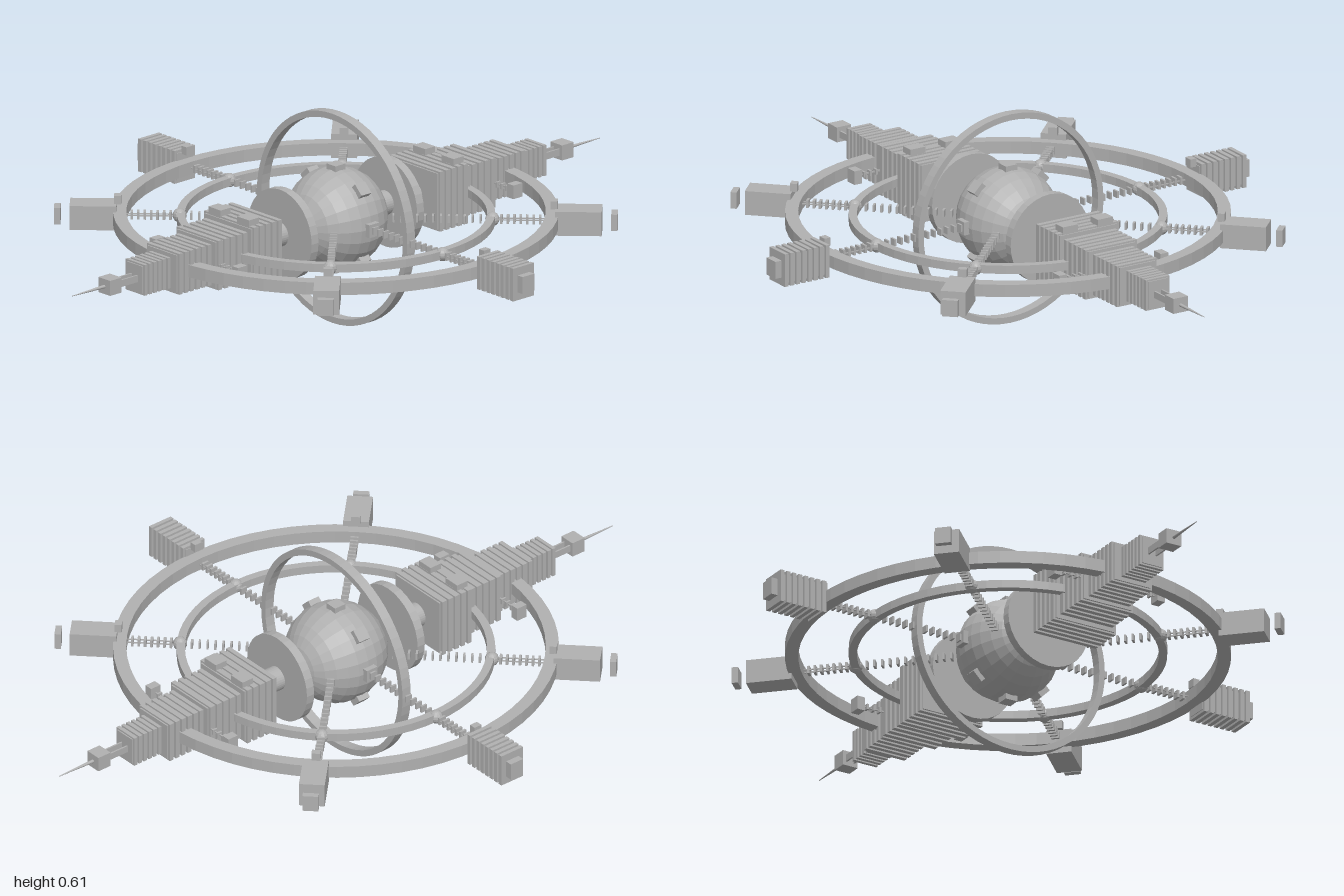
import * as THREE from 'three';

export function createModel() {
  const grey = new THREE.MeshStandardMaterial({ color: 0xb0b0b0, flatShading: true });
  grey.name = 'hull grey';
  const model = new THREE.Group();
  model.name = 'spaceStation';
  const station = new THREE.Group();
  station.name = 'station';
  station.position.y = 0.307;
  model.add(station);

  function add(parent, name, geometry, x = 0, y = 0, z = 0) {
    const mesh = new THREE.Mesh(geometry, grey);
    mesh.name = name;
    mesh.position.set(x, y, z);
    parent.add(mesh);
    return mesh;
  }
  const box = (parent, name, w, h, d, x, y, z) =>
    add(parent, name, new THREE.BoxGeometry(w, h, d), x, y, z);

  // Ring of rectangular section, lying flat
  function ring(name, inner, outer, height) {
    const h = height / 2;
    const profile = [[outer, -h], [outer, h], [inner, h], [inner, -h], [outer, -h]]
      .map(([r, y]) => new THREE.Vector2(r, y));
    return add(station, name, new THREE.LatheGeometry(profile, 64));
  }
  ring('outerRing', 0.583, 0.62, 0.036);
  ring('innerRing', 0.42, 0.443, 0.024);
  ring('uprightRing', 0.289, 0.307, 0.03).rotation.x = Math.PI / 2;

  // Central globe with its poles along z, and a belt of hatches
  add(station, 'globe', new THREE.SphereGeometry(0.145, 24, 14).rotateX(Math.PI / 2));
  for (let i = 0; i < 8; i++) {
    const a = (i * Math.PI) / 4;
    const hatch = box(station, 'hatch', 0.025, 0.038, 0.038, 0.145 * Math.cos(a), 0.145 * Math.sin(a), 0);
    hatch.rotation.z = a;
  }

  // Axial docking arm, built toward +z
  function axialArm(angle) {
    const arm = new THREE.Group();
    arm.name = 'axialArm';
    arm.rotation.y = angle;
    station.add(arm);
    const cylinder = (name, r0, r1, length, z) =>
      add(arm, name, new THREE.CylinderGeometry(r1, r0, length, 32).rotateX(Math.PI / 2), 0, 0, z);
    cylinder('neckTube', 0.035, 0.035, 0.2, 0.21);
    cylinder('collarDisc', 0.13, 0.13, 0.026, 0.2);

    // Stepped hull blocks: width, height, start, end, number of ribs
    const blocks = [
      [0.19, 0.165, 0.295, 0.41, 5],
      [0.156, 0.135, 0.41, 0.53, 5],
      [0.118, 0.11, 0.53, 0.66, 6],
      [0.064, 0.08, 0.66, 0.765, 6],
    ];
    for (const [w, h, z0, z1, ribs] of blocks) {
      box(arm, 'hullBlock', w, h, z1 - z0, 0, 0, (z0 + z1) / 2);
      const step = (z1 - z0) / ribs;
      for (let i = 0; i < ribs; i++) {
        box(arm, 'hullRib', w + 0.014, h + 0.01, step * 0.6, 0, 0, z0 + (i + 0.5) * step);
      }
    }
    for (const s of [-1, 1]) {
      box(arm, 'roofUnit', 0.05, 0.03, 0.038, s * 0.058, 0.09, 0.388);
      box(arm, 'sideBoom', 0.09, 0.004, 0.004, s * 0.115, 0, 0.522);
      for (let i = 0; i < 3; i++) {
        box(arm, 'boomBead', 0.006, 0.016, 0.016, s * (0.1 + i * 0.02), 0, 0.522);
      }
      box(arm, 'boomSensor', 0.025, 0.04, 0.034, s * 0.168, 0, 0.522);
      box(arm, 'noseRail', 0.005, 0.02, 0.08, s * 0.012, 0, 0.8);
    }
    box(arm, 'noseUnit', 0.048, 0.044, 0.044, 0, 0, 0.857);
    cylinder('antenna', 0.005, 0.001, 0.121, 0.9395);
  }
  axialArm(0);
  axialArm(Math.PI);

  // Spoke with a pod on the outer ring, built toward +x
  function radialArm(angle, ribbed) {
    const arm = new THREE.Group();
    arm.name = 'radialArm';
    arm.rotation.y = angle;
    station.add(arm);
    for (let r = 0.16; r < 0.42; r += 0.022) {
      box(arm, 'spokeLink', 0.006, 0.02, 0.02, r, 0, 0);
    }
    for (let r = 0.46; r < 0.585; r += 0.018) {
      box(arm, 'trussLink', 0.007, 0.022, 0.022, r, 0, 0);
    }
    for (const s of [-1, 1]) {
      box(arm, 'trussRail', 0.15, 0.003, 0.003, 0.515, 0, s * 0.008);
    }
    add(arm, 'spokeNode', new THREE.SphereGeometry(0.02, 12, 8), 0.435);
    box(arm, 'podBeacon', 0.02, 0.024, 0.025, 0.607, 0.046, 0);

    if (ribbed) {
      box(arm, 'podCore', 0.15, 0.08, 0.062, 0.69, 0, 0);
      for (let i = 0; i < 8; i++) {
        box(arm, 'podRib', 0.012, 0.096, 0.078, 0.623 + i * 0.0195, 0, 0);
      }
      box(arm, 'podCap', 0.022, 0.05, 0.045, 0.775, 0, 0);
    } else {
      box(arm, 'pod', 0.13, 0.07, 0.072, 0.675, 0, 0);
      box(arm, 'outerTile', 0.018, 0.048, 0.045, 0.775, 0, 0);
    }
  }
  for (let i = 0; i < 8; i++) {
    if (i % 4 !== 2) radialArm((i * Math.PI) / 4, i % 4 === 0);
  }
  return model;
}
